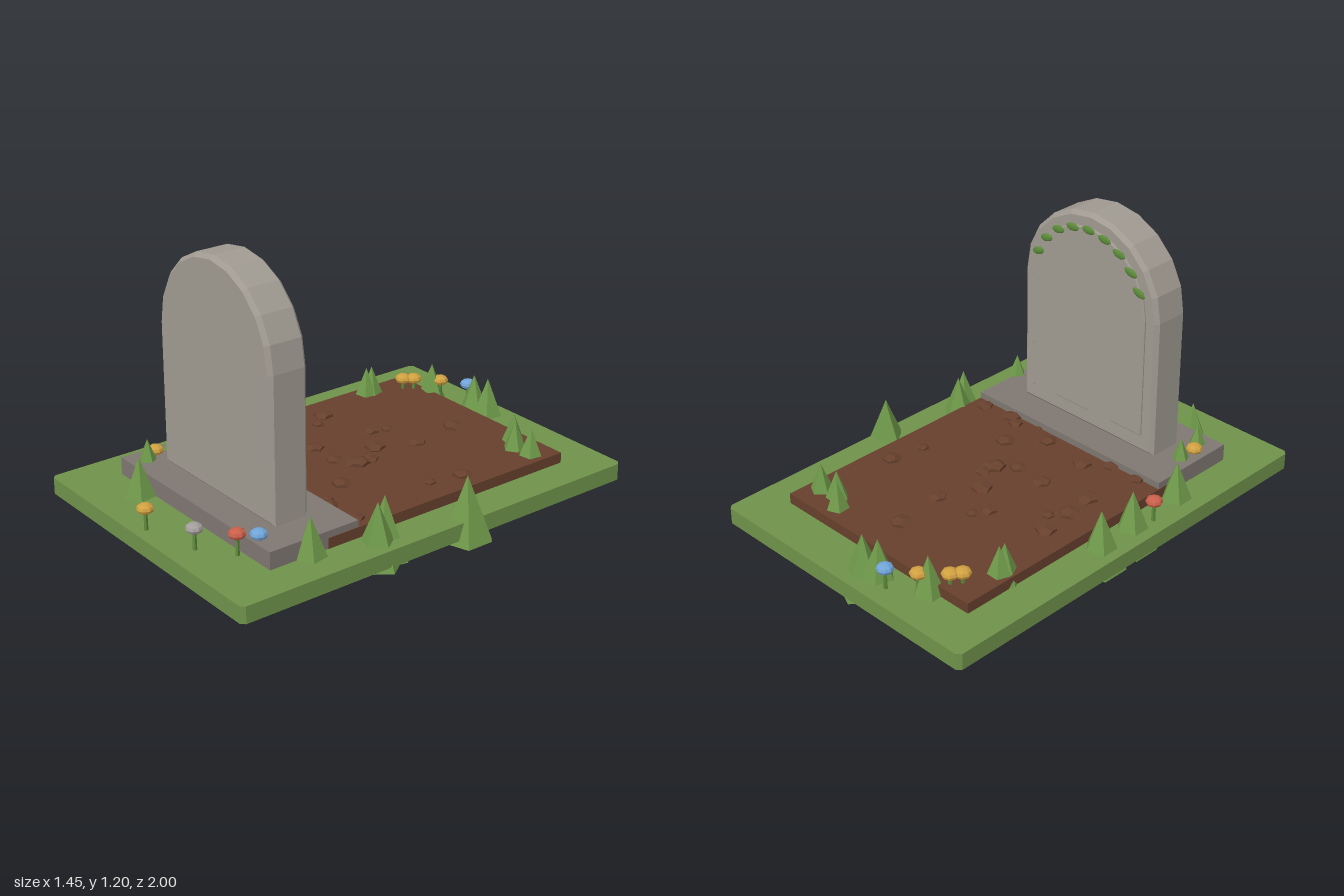
import * as THREE from 'three';

const paint = (name, color) => {
  const m = new THREE.MeshStandardMaterial({ color });
  m.name = name;
  m.flatShading = true;
  return m;
};

const CX = -0.028; // centre line of the plot

// Closed arch outline: straight sides below a half circle of ten facets
function archShape(halfWidth, bottom, spring) {
  const pts = [new THREE.Vector2(halfWidth, bottom)];
  for (let i = 0; i <= 10; i++) {
    const a = (i / 10) * Math.PI;
    pts.push(new THREE.Vector2(Math.cos(a) * halfWidth, spring + Math.sin(a) * halfWidth));
  }
  pts.push(new THREE.Vector2(-halfWidth, bottom));
  return new THREE.Shape(pts);
}

// Arch slab between two z planes with a single chamfer
function archSlab(halfWidth, bottom, z0, z1, bevel) {
  const geo = new THREE.ExtrudeGeometry(archShape(halfWidth, bottom, 0.82), {
    depth: z1 - z0 - 2 * bevel, bevelEnabled: true, bevelSegments: 1,
    bevelSize: bevel, bevelThickness: bevel, bevelOffset: -bevel,
  });
  return geo.translate(CX, 0, z0 + bevel);
}

// Box given by its limits
function block(x0, x1, y0, y1, z0, z1) {
  return new THREE.BoxGeometry(x1 - x0, y1 - y0, z1 - z0)
    .translate((x0 + x1) / 2, (y0 + y1) / 2, (z0 + z1) / 2);
}

export function createModel() {
  const model = new THREE.Group();
  model.name = 'gravePlot';
  const grass = paint('grassGreen', 0x6f934a);
  const blade = paint('tuftGreen', 0x6f9a4a);
  const leafGreen = paint('leafGreen', 0x5c8a3a);
  const soil = paint('soilBrown', 0x67402d);
  const stone = paint('headstoneGrey', 0xa09a91);
  const plinthGrey = paint('plinthGrey', 0x7f7772);
  const petals = {
    red: paint('petalRed', 0xca5f4a),
    yellow: paint('petalYellow', 0xd0a040),
    blue: paint('petalBlue', 0x70a4d8),
    pale: paint('petalPale', 0xa39d9c),
  };

  const add = (name, geo, mat, parent = model) => {
    const mesh = new THREE.Mesh(geo, mat);
    mesh.name = name;
    parent.add(mesh);
    return mesh;
  };
  const group = (name) => {
    const g = new THREE.Group();
    g.name = name;
    model.add(g);
    return g;
  };

  // Lawn slab with small cut corners
  const hw = 0.701, c = 0.018;
  const lawn = new THREE.Shape([
    [-hw + c, -1], [hw - c, -1], [hw, -1 + c], [hw, 1 - c],
    [hw - c, 1], [-hw + c, 1], [-hw, 1 - c], [-hw, -1 + c],
  ].map(([x, y]) => new THREE.Vector2(x, y)));
  add('lawn', new THREE.ExtrudeGeometry(lawn, { depth: 0.075, bevelEnabled: false })
    .rotateX(-Math.PI / 2).translate(CX, 0.025, 0), grass);

  // Soil bed, plinth and headstone
  add('soilBed', block(-0.567, 0.509, 0.09, 0.147, -0.797, 0.47), soil);
  add('plinth', block(-0.565, 0.507, 0.09, 0.178, 0.32, 0.752), plinthGrey);
  add('headstone', archSlab(0.383, 0.18, 0.447, 0.63, 0.018), stone);
  add('backPanel', archSlab(0.322, 0.265, 0.437, 0.46, 0.004), stone);

  // Garland of leaves along the back of the arch
  const garland = group('garland');
  const leafGeo = new THREE.SphereGeometry(1, 8, 6);
  for (let i = 0; i < 9; i++) {
    const a = THREE.MathUtils.degToRad(23 + i * 16.75);
    const leaf = add('leaf', leafGeo, leafGreen, garland);
    leaf.scale.set(0.036, 0.018, 0.009);
    leaf.position.set(CX + Math.cos(a) * 0.312, 0.82 + Math.sin(a) * 0.312, 0.434);
    leaf.rotation.z = (a - Math.PI / 2) * 0.3;
  }

  // Squashed clods on the soil: x, z, radius
  const clods = group('clods');
  const clodGeo = new THREE.DodecahedronGeometry(1);
  [
    [0.02, -0.61, 0.05], [0.05, -0.375, 0.04], [-0.14, -0.36, 0.03], [-0.17, -0.295, 0.04],
    [0.41, -0.315, 0.045], [-0.435, -0.23, 0.05], [-0.37, -0.15, 0.03], [-0.03, -0.2, 0.05],
    [0.38, -0.16, 0.03], [0.055, -0.11, 0.035], [0.05, -0.045, 0.053], [-0.425, -0.075, 0.05],
    [-0.18, 0.01, 0.042], [-0.03, 0.02, 0.04], [-0.4, 0.06, 0.052], [0.165, 0.135, 0.046],
    [-0.2, 0.24, 0.047], [0.03, 0.265, 0.042], [0.235, 0.27, 0.035], [0.285, 0.3, 0.045],
    [0.44, 0.28, 0.04], [-0.45, 0.31, 0.035], [-0.305, 0.31, 0.04], [0.13, 0.34, 0.028],
  ].forEach(([x, z, r], i) => {
    const clod = add('clod', clodGeo, soil, clods);
    clod.scale.set(r, r * 0.42, r);
    clod.position.set(x, 0.15, z);
    clod.rotation.y = i * 1.7;
  });

  // Five-sided grass tufts pushed through the lawn: x, z
  const tufts = group('grassTufts');
  const tuftGeo = new THREE.ConeGeometry(0.108, 0.275, 5).translate(0, 0.1375, 0);
  [
    [-0.14, -0.875], [-0.07, -0.895], [-0.36, -0.81], [-0.51, -0.57], [-0.51, -0.54],
    [0.29, -0.72], [0.35, -0.67], [0.44, -0.68], [-0.63, -0.11], [-0.625, 0.085],
    [-0.61, 0.38], [0.62, -0.155], [0.637, -0.14], [0.55, 0.22], [0.58, 0.28],
    [0.51, 0.56], [-0.5, 0.535], [-0.475, 0.675], [-0.345, 0.8],
  ].forEach(([x, z], i) => {
    const tuft = add('grassTuft', tuftGeo, blade, tufts);
    tuft.position.set(x, 0, z);
    // outer tufts turn a flat side outward
    tuft.rotation.y = x > 0.6 ? -Math.PI / 2 : x < -0.6 ? Math.PI / 2 : i * 0.83;
  });

  // Flowers: colour, x, z
  const flowers = group('flowers');
  const stemGeo = new THREE.CylinderGeometry(0.008, 0.01, 0.1, 5);
  const headGeo = new THREE.SphereGeometry(1, 8, 6);
  [
    ['blue', -0.22, -0.91], ['yellow', -0.335, -0.84], ['yellow', -0.425, -0.755],
    ['yellow', -0.455, -0.715], ['red', -0.655, 0.185], ['yellow', -0.51, 0.615],
    ['yellow', -0.07, 0.945], ['pale', 0.19, 0.885], ['red', 0.33, 0.78], ['blue', 0.385, 0.715],
  ].forEach(([tint, x, z]) => {
    add('flowerStem', stemGeo, leafGreen, flowers).position.set(x, 0.14, z);
    const head = add('flowerHead', headGeo, petals[tint], flowers);
    head.scale.set(0.037, 0.024, 0.037);
    head.position.set(x, 0.195, z);
  });

  return model;
}
